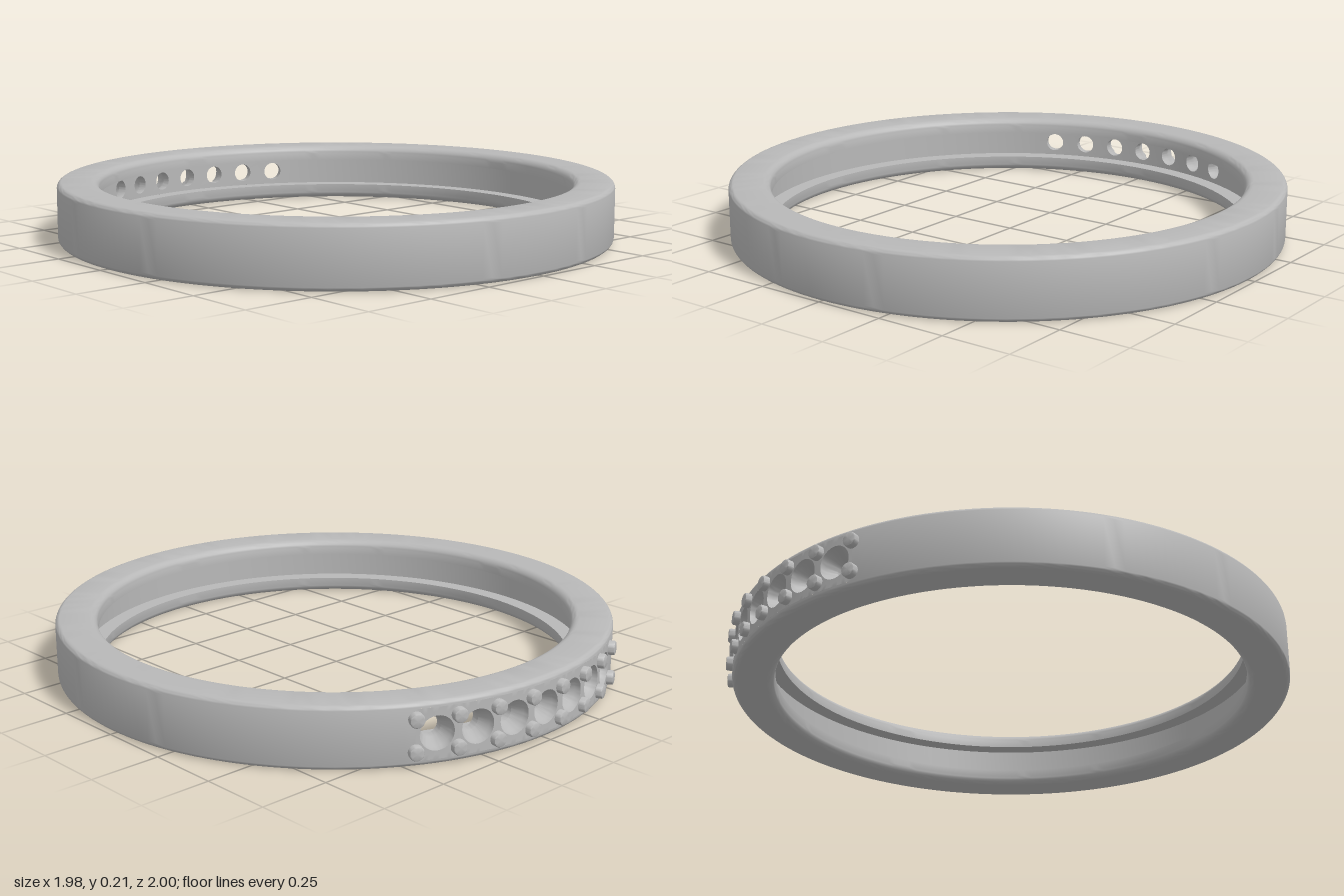
import * as THREE from 'three';
import { mergeGeometries, toCreasedNormals } from 'three/addons/utils/BufferGeometryUtils.js';

const STEP = (Math.PI * 2) / 44;      // angle taken up by one stone seat
const SEATS = 7;
const HALF = (STEP * SEATS) / 2;
const RO = 0.988, RI = 0.84, RG = 0.9; // outer, inner and groove radii
const H = 0.212, MID = H / 2;
const FO = 0.02, FI = 0.03;           // outer and inner edge rounding
const GROOVE = 0.051;                 // half height of the inner groove

const v = (x, y) => new THREE.Vector2(x, y);

// Rounded corner as profile points
function fillet(cx, cy, r, from, to) {
  return Array.from({ length: 7 }, (_, i) => {
    const a = from + ((to - from) * i) / 6;
    return v(cx + r * Math.cos(a), cy + r * Math.sin(a));
  });
}

function bare(geometry) {
  const g = geometry.index ? geometry.toNonIndexed() : geometry;
  g.deleteAttribute('uv');
  g.deleteAttribute('normal');
  return g;
}

// Lathe starting where the row of seats ends
const turn = (points, cells) =>
  bare(new THREE.LatheGeometry(points, cells * 4, Math.PI + HALF, cells * STEP));

// One pierced section of the band: outer wall, countersunk hole, groove wall
function seatCell(center) {
  const N = 48;
  const rows = [
    // [radius of band, hole radius, blend from rectangle (1) to circle (0), rectangle half height]
    [RO, 0.058, 1, MID - FO],
    [RO, 0.058, 0.5, MID - FO],
    [RO, 0.058, 0, 0],
    [RO - 0.022, 0.055, 0, 0],
    [RO - 0.058, 0.034, 0, 0],
    [RG, 0.034, 0, 0],
    [RG, 0.034, 1, GROOVE],
  ];
  const point = ([R, r, blend, hh], j) => {
    const t = (j / N) * Math.PI * 2, c = Math.cos(t), s = Math.sin(t);
    const m = Math.max(Math.abs(c), Math.abs(s));
    const a = center + (1 - blend) * (r * c) / R + (blend * c / m) * (STEP / 2);
    const y = MID + (1 - blend) * r * s + (blend * s / m) * hh;
    return [R * Math.sin(a), y, -R * Math.cos(a)];
  };
  const pos = [];
  for (let i = 0; i < rows.length - 1; i++) {
    for (let j = 0; j < N; j++) {
      const A = point(rows[i], j), B = point(rows[i], j + 1);
      const C = point(rows[i + 1], j), D = point(rows[i + 1], j + 1);
      pos.push(...A, ...C, ...B, ...B, ...C, ...D);
    }
  }
  const g = new THREE.BufferGeometry();
  g.setAttribute('position', new THREE.Float32BufferAttribute(pos, 3));
  return g;
}

export function createModel() {
  const model = new THREE.Group();
  model.name = 'ring';
  const metal = new THREE.MeshStandardMaterial({ color: 0xb8b8b8 });
  metal.name = 'grey metal';
  const P = Math.PI;

  // Band: rounded upper and lower rims, plain walls, and the pierced cells
  const upperRim = [
    ...fillet(RO - FO, H - FO, FO, 0, P / 2),
    ...fillet(RI + FI, H - FI, FI, P / 2, P),
    v(RI, MID + GROOVE), v(RG, MID + GROOVE),
  ];
  const lowerRim = [
    v(RG, MID - GROOVE), v(RI, MID - GROOVE),
    ...fillet(RI + FI, FI, FI, P, P * 1.5),
    ...fillet(RO - FO, FO, FO, P * 1.5, P * 2),
  ];
  const parts = [
    turn(upperRim, 44),
    turn(lowerRim, 44),
    turn([v(RO, FO), v(RO, H - FO)], 44 - SEATS),
    turn([v(RG, MID + GROOVE), v(RG, MID - GROOVE)], 44 - SEATS),
  ];
  for (let i = 0; i < SEATS; i++) parts.push(seatCell((i - (SEATS - 1) / 2) * STEP));
  const band = new THREE.Mesh(toCreasedNormals(mergeGeometries(parts), 0.55), metal);
  band.name = 'band';
  model.add(band);

  // Prongs: a pair of small bevelled pins between neighbouring seats
  const tip = 1.011, base = 0.95;
  const prongGeometry = toCreasedNormals(new THREE.LatheGeometry([
    v(0.025, base), v(0.025, tip - 0.006), v(0.023, tip - 0.002), v(0.019, tip), v(0, tip),
  ], 24), 0.6);
  const prongs = new THREE.Group();
  prongs.name = 'prongs';
  for (let i = 0; i <= SEATS; i++) {
    const pair = new THREE.Group();
    pair.name = 'prongPair';
    pair.rotation.y = -(i - SEATS / 2) * STEP;
    for (const side of [-1, 1]) {
      const prong = new THREE.Mesh(prongGeometry, metal);
      prong.name = 'prong';
      prong.rotation.x = -P / 2;
      prong.position.y = MID + side * 0.054;
      pair.add(prong);
    }
    prongs.add(pair);
  }
  model.add(prongs);

  model.position.z = 0.011;
  const root = new THREE.Group();
  root.name = 'model';
  root.add(model);
  return root;
}
